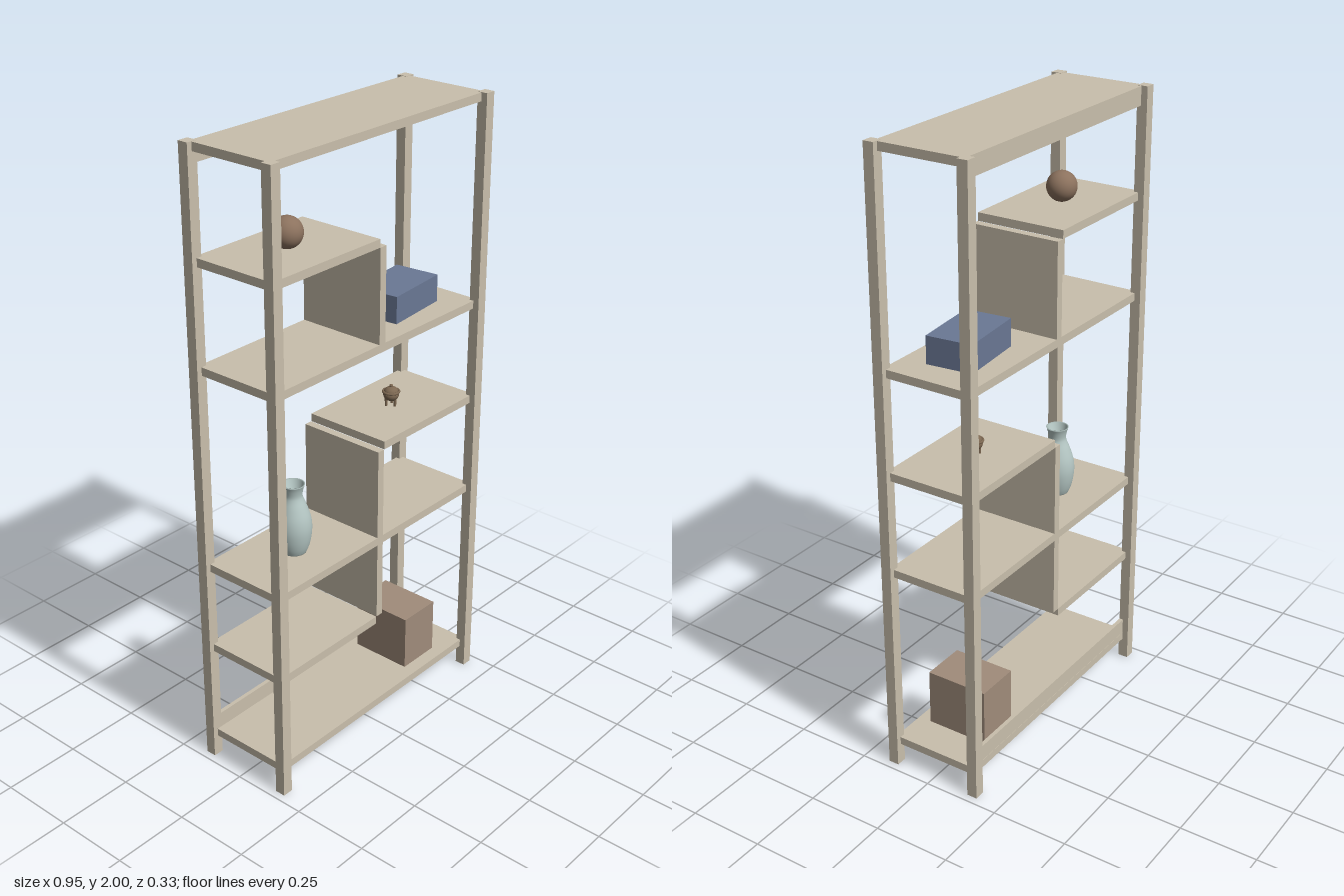
import * as THREE from 'three';

const mat = (color) => new THREE.MeshStandardMaterial({ color });

export function createModel() {
  const group = new THREE.Group();
  const wood = mat(0xc9bfac);
  const bronze = mat(0x7d6852);

  const add = (name, geometry, material, x = 0, y = 0, z = 0, parent = group) => {
    const mesh = new THREE.Mesh(geometry, material);
    mesh.name = name;
    mesh.position.set(x, y, z);
    parent.add(mesh);
    return mesh;
  };
  // Box given by its extents along each axis
  const slab = (name, x0, x1, y0, y1, z0, z1, material = wood) =>
    add(name, new THREE.BoxGeometry(x1 - x0, y1 - y0, z1 - z0), material,
      (x0 + x1) / 2, (y0 + y1) / 2, (z0 + z1) / 2);

  // Corner posts
  for (const sx of [-1, 1]) {
    for (const sz of [-1, 1]) {
      add('post', new THREE.BoxGeometry(0.035, 2, 0.034), wood, sx * 0.4575, 1, sz * 0.15);
    }
  }

  // Full-width shelves, by top height
  const W = 0.458, D = 0.147, T = 0.026;
  for (const top of [0.095, 0.703, 1.35, 1.999]) {
    slab('shelf', -W, W, top - T, top, -D, D);
  }

  // Half shelves, each meeting an upright divider
  for (const [side, top] of [[-1, 0.417], [1, 1.026], [-1, 1.675]]) {
    const [x0, x1] = side < 0 ? [-W, -0.015] : [0.015, W];
    slab('halfShelf', x0, x1, top - T, top, -D, D);
  }
  for (const [y0, y1] of [[0.417, 0.677], [0.703, 1.0], [1.35, 1.649]]) {
    slab('divider', -0.013, 0.013, y0, y1, -D, D);
  }

  // Back rails
  slab('bottomBackRail', -0.44, 0.44, 0.095, 0.147, -0.146, -0.133);
  slab('topBackRail', -0.44, 0.44, 1.94, 1.973, -0.146, -0.133);

  // Ornaments
  add('ball', new THREE.SphereGeometry(0.047, 32, 20), mat(0x8c725e), -0.24, 1.722, 0);
  slab('storageCube', 0.19, 0.339, 0.095, 0.281, -0.104, 0.104, mat(0xa08c7b));
  const box = add('blueBox', new THREE.BoxGeometry(0.226, 0.087, 0.149), mat(0x6a7894), 0.245, 1.3935, 0);
  box.rotation.y = 0.1;

  // Vase with an open mouth
  const outline = [[0.038, 0], [0.046, 0.02], [0.053, 0.05], [0.056, 0.085], [0.052, 0.12],
    [0.041, 0.155], [0.031, 0.18], [0.028, 0.195], [0.031, 0.215], [0.036, 0.23]];
  const curve = new THREE.SplineCurve(outline.map(([r, y]) => new THREE.Vector2(r, y)));
  const profile = [new THREE.Vector2(0, 0), ...curve.getPoints(36),
    new THREE.Vector2(0.031, 0.229), new THREE.Vector2(0.024, 0.195), new THREE.Vector2(0, 0.16)];
  const vaseMaterial = mat(0xb5c7c4);
  vaseMaterial.side = THREE.DoubleSide;
  add('vase', new THREE.LatheGeometry(profile, 32), vaseMaterial, -0.232, 0.703, 0);

  // Small footed burner: bowl, rim, lid, knob and legs
  const burner = new THREE.Group();
  burner.name = 'burner';
  burner.position.set(0.225, 1.026, 0);
  group.add(burner);
  const bowl = add('bowl', new THREE.SphereGeometry(0.025, 20, 14), bronze, 0, 0.037, 0, burner);
  bowl.scale.y = 0.85;
  const rim = add('rim', new THREE.TorusGeometry(0.025, 0.004, 8, 24), bronze, 0, 0.047, 0, burner);
  rim.rotation.x = Math.PI / 2;
  add('lid', new THREE.SphereGeometry(0.023, 20, 8, 0, Math.PI * 2, 0, Math.PI / 2), bronze, 0, 0.046, 0, burner)
    .scale.y = 0.75;
  add('knob', new THREE.SphereGeometry(0.006, 12, 8), bronze, 0, 0.066, 0, burner);
  for (let i = 0; i < 3; i++) {
    const a = Math.PI / 2 + (i * Math.PI * 2) / 3;
    add('leg', new THREE.CylinderGeometry(0.005, 0.004, 0.026, 10), bronze,
      Math.cos(a) * 0.016, 0.013, Math.sin(a) * 0.016, burner);
  }

  return group;
}
